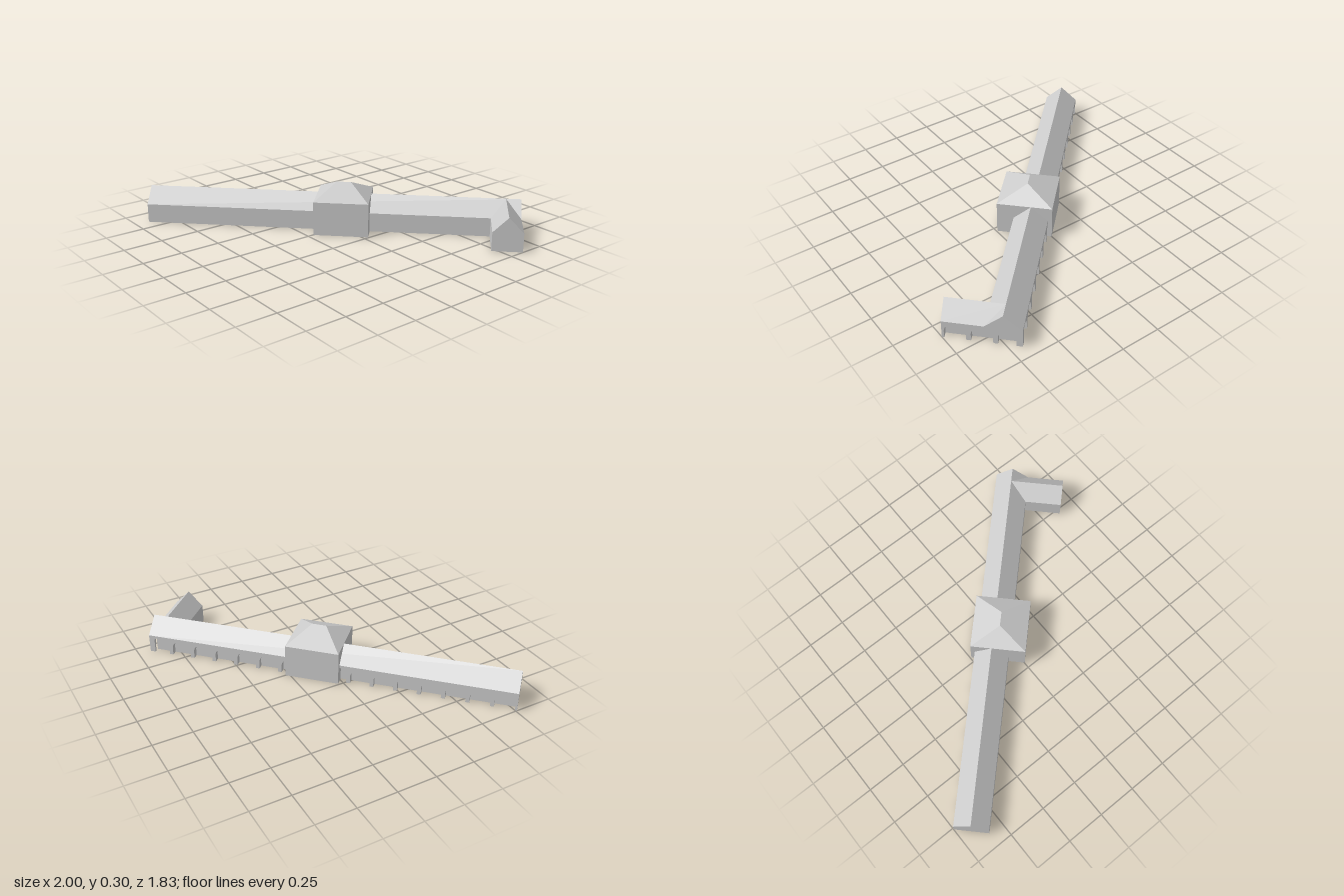
import * as THREE from 'three';
import { ConvexGeometry } from 'three/addons/geometries/ConvexGeometry.js';

// Plan coordinates: local x runs along the long range, local z across it.
const X0 = -1.243, X1 = 1.131;      // ends of the long range
const Z0 = -0.168, Z1 = 0.046;      // arcaded back and plain front
const WING_X = 0.944, WING_Z = 0.283;
const EAVE = 0.12, RIDGE = 0.215, DEPTH = 0.035;

export function createModel() {
  const model = new THREE.Group();
  model.name = 'arcadedBuilding';
  const plan = new THREE.Group();
  plan.name = 'diagonalPlan';
  plan.rotation.y = Math.PI / 4;
  model.add(plan);

  const material = new THREE.MeshStandardMaterial({ color: 0xcccccc, flatShading: true });

  function add(name, geometry, x = 0, y = 0, z = 0, turn = 0) {
    const mesh = new THREE.Mesh(geometry, material);
    mesh.name = name;
    mesh.position.set(x, y, z);
    mesh.rotation.y = turn;
    plan.add(mesh);
  }

  function block(name, xa, xb, za, zb, height) {
    add(name, new THREE.BoxGeometry(xb - xa, height, zb - za),
      (xa + xb) / 2, height / 2, (za + zb) / 2);
  }

  // Triangular roof prism with gabled ends
  function gable(width, length) {
    const shape = new THREE.Shape([
      new THREE.Vector2(0, 0),
      new THREE.Vector2(width, 0),
      new THREE.Vector2(width / 2, RIDGE - EAVE),
    ]);
    return new THREE.ExtrudeGeometry(shape, { depth: length, bevelEnabled: false });
  }

  // Wall with a row of round arches open at the ground
  function arcade(length, count) {
    const pitch = length / count, r = 0.062, spring = 0.045;
    const shape = new THREE.Shape();
    shape.moveTo(0, 0);
    for (let i = 0; i < count; i++) {
      const c = (i + 0.5) * pitch;
      shape.lineTo(c - r, 0);
      shape.lineTo(c - r, spring);
      shape.absarc(c, spring, r, Math.PI, 0, true);
      shape.lineTo(c + r, 0);
    }
    shape.lineTo(length, 0);
    shape.lineTo(length, EAVE);
    shape.lineTo(0, EAVE);
    return new THREE.ExtrudeGeometry(shape, { depth: DEPTH, bevelEnabled: false, curveSegments: 10 });
  }

  // Walls set back behind the arcades
  block('mainWalls', X0, X1 - DEPTH, Z0 + DEPTH, Z1, EAVE);
  block('wingWalls', WING_X, X1 - DEPTH, 0, WING_Z, EAVE);

  // Arcades along the back and the wing's outer side
  add('backArcade', arcade(X1 - X0, 16), X0, 0, Z0);
  add('wingArcade', arcade(WING_Z - Z0, 3), X1 - DEPTH, 0, WING_Z, Math.PI / 2);

  // Roofs; the wing ridge meets the main ridge
  const ridgeZ = (Z0 + Z1) / 2;
  add('mainRoof', gable(Z1 - Z0, X1 - X0), X1, EAVE, Z0, -Math.PI / 2);
  add('wingRoof', gable(X1 - WING_X, WING_Z - ridgeZ), WING_X, EAVE, ridgeZ);

  // Central pavilion with a hipped roof
  const [xa, xb, za, zb] = [-0.148, 0.194, -0.194, 0.151];
  block('pavilionWalls', xa, xb, za, zb, RIDGE);
  const zm = (za + zb) / 2;
  add('pavilionRoof', new ConvexGeometry([
    [xa, RIDGE, za], [xb, RIDGE, za], [xb, RIDGE, zb], [xa, RIDGE, zb],
    [-0.022, 0.3, zm], [0.068, 0.3, zm],
  ].map((p) => new THREE.Vector3(...p))));

  return model;
}
